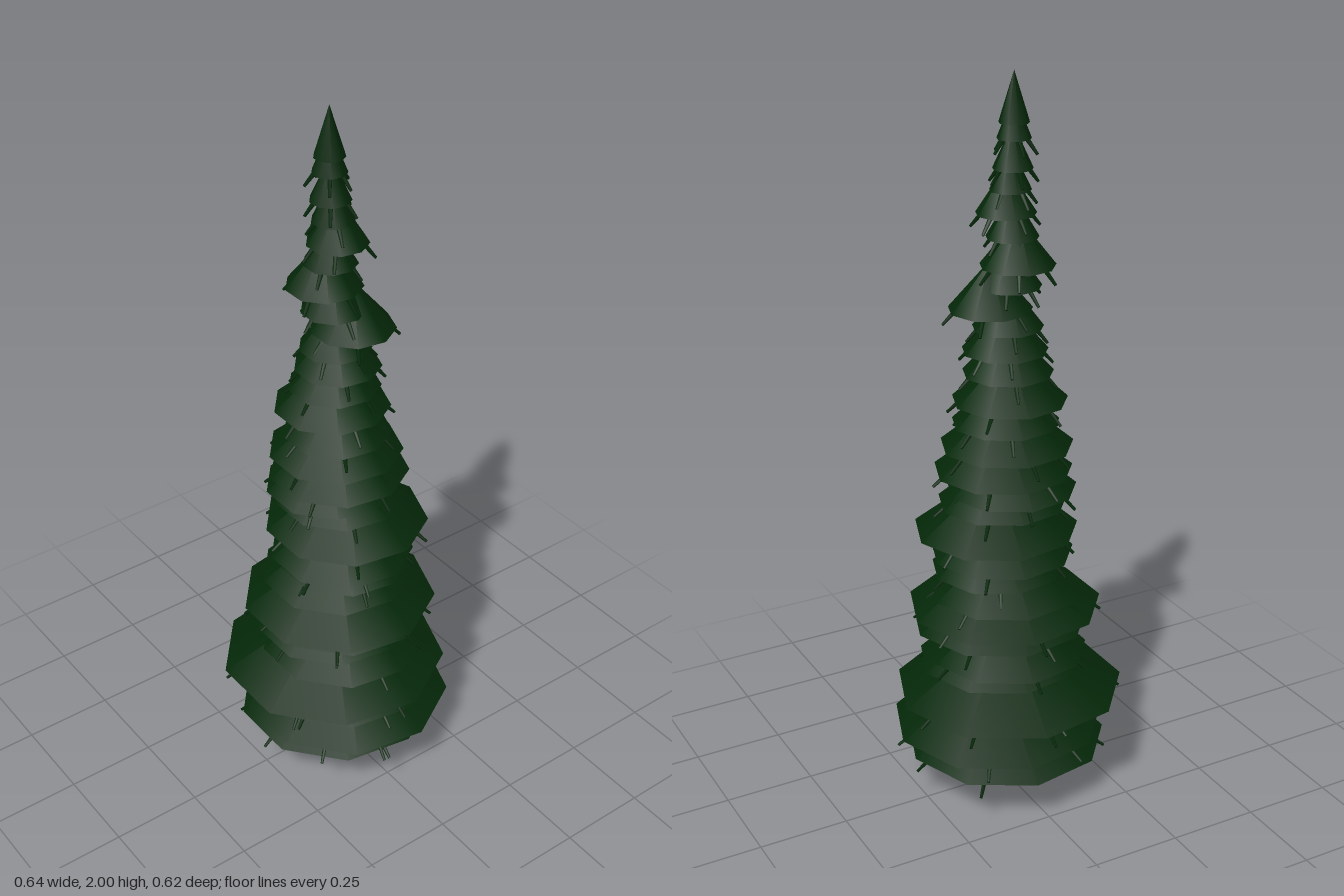
import * as THREE from 'three';

// Tiers of foliage: [rim height, radius, centre x, centre z]
const TIERS = [
  [0.13, 0.282, 0.005, 0], [0.18, 0.297, 0.03, -0.01], [0.255, 0.26, 0.03, 0],
  [0.3, 0.318, 0, 0.01], [0.375, 0.23, 0.03, 0], [0.42, 0.22, -0.01, 0],
  [0.5, 0.245, 0.027, -0.005], [0.54, 0.268, 0.03, 0.012], [0.6, 0.21, 0.005, 0],
  [0.655, 0.182, 0.03, -0.01], [0.7, 0.197, 0.032, 0.005], [0.78, 0.224, 0.02, -0.02],
  [0.86, 0.176, 0.01, -0.005], [0.9, 0.177, -0.003, 0.015], [0.95, 0.188, 0.015, 0],
  [1.02, 0.18, 0.013, 0.01], [1.08, 0.145, 0.02, 0.01], [1.15, 0.155, 0, 0.012],
  [1.22, 0.122, 0.015, 0.015], [1.28, 0.115, 0.022, 0.01], [1.34, 0.095, 0.025, 0.02],
  [1.39, 0.112, 0.043, -0.022], [1.45, 0.085, 0.025, 0.025], [1.51, 0.1, 0, 0.035],
  [1.58, 0.07, 0.02, 0.03], [1.64, 0.08, 0.035, 0.02], [1.7, 0.055, 0.03, 0.03],
  [1.755, 0.053, 0.027, 0.035], [1.83, 0.045, 0.03, 0.04],
];

function seeded(seed) {
  return () => {
    seed = (seed * 16807) % 2147483647;
    return seed / 2147483647;
  };
}

export function createModel() {
  const group = new THREE.Group();
  const needles = new THREE.MeshStandardMaterial({ color: 0x042708 });
  needles.name = 'dark green needles';
  const bark = new THREE.MeshStandardMaterial({ color: 0x2a1c1c });
  bark.name = 'dark brown bark';
  const rand = seeded(77);

  const add = (name, geometry, material, x, y, z) => {
    const mesh = new THREE.Mesh(geometry, material);
    mesh.name = name;
    mesh.position.set(x, y, z);
    group.add(mesh);
    return mesh;
  };

  // Trunk, running up inside the foliage
  add('trunk', new THREE.CylinderGeometry(0.025, 0.038, 0.6, 8), bark, 0.013, 0.3, 0);

  // Nine-sided skirts, one corner to the back
  TIERS.forEach(([y, r, x, z]) => {
    const h = 0.1 + r * 0.28;
    const skirt = new THREE.ConeGeometry(r, h, 9);
    add('foliageTier', skirt, needles, x, y + h / 2, z).rotation.y = Math.PI;
  });

  // Pointed top
  add('treeTop', new THREE.ConeGeometry(0.04, 0.13, 9), needles, 0.03, 1.935, 0.04).rotation.y = Math.PI;

  // Drooping twigs under the rims
  const up = new THREE.Vector3(0, 1, 0);
  TIERS.forEach(([y, r, x, z]) => {
    const start = rand() * Math.PI * 2;
    for (let i = 0; i < 5; i++) {
      const a = start + (i + rand() * 0.6) * Math.PI * 0.4;
      const length = 0.06 + 0.12 * r + rand() * 0.015;
      const spread = 0.45 + 2.5 * r;
      const dir = new THREE.Vector3(Math.sin(a) * spread, -0.8, Math.cos(a) * spread).normalize();
      const out = r * 0.85;
      const twig = add('twig', new THREE.CylinderGeometry(0.004, 0.008, length, 5), needles,
        x + Math.sin(a) * out, y - 0.008, z + Math.cos(a) * out);
      twig.quaternion.setFromUnitVectors(up, dir);
    }
  });

  return group;
}
